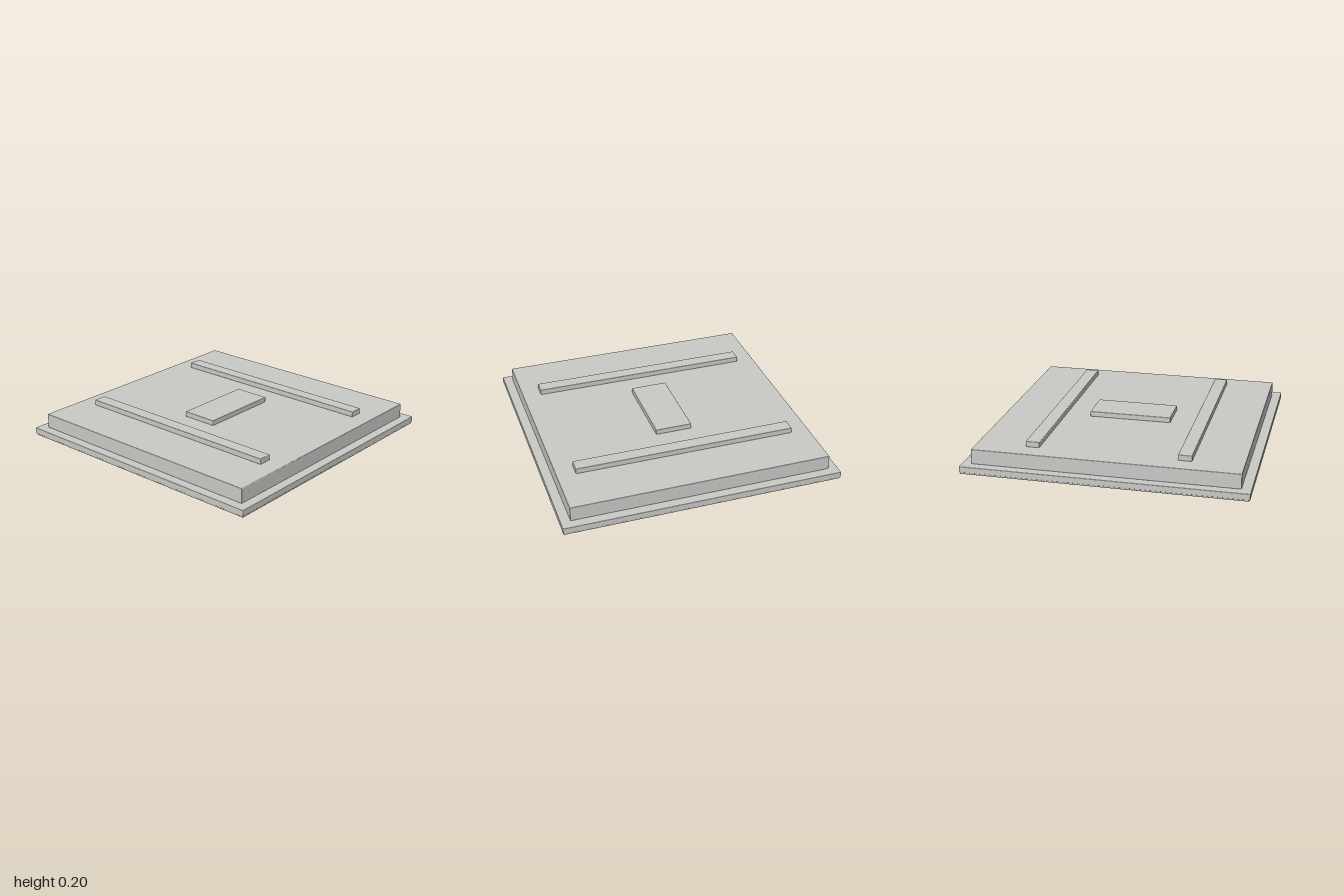
import * as THREE from 'three';
import { RoundedBoxGeometry } from 'three/addons/geometries/RoundedBoxGeometry.js';

export function createModel() {
  const model = new THREE.Group();
  model.name = 'floorPanel';

  const paleGrey = new THREE.MeshStandardMaterial({ color: 0xc9c9c6 });
  paleGrey.name = 'paleGrey';

  // Softly edged slab standing between two heights
  const slab = (name, width, depth, bottom, top, x = 0, bevel = 0.005) => {
    const geometry = new RoundedBoxGeometry(width, top - bottom, depth, 2, bevel);
    const mesh = new THREE.Mesh(geometry, paleGrey);
    mesh.name = name;
    mesh.position.set(x, (bottom + top) / 2, 0);
    model.add(mesh);
    return mesh;
  };

  // Stepped base and body
  slab('underPlate', 1.99, 1.99, 0, 0.014, 0, 0.004);
  slab('baseFlange', 2, 2, 0.012, 0.056, 0, 0.004);
  slab('body', 1.866, 1.866, 0.054, 0.162);

  // Raised centre plate and two long side ribs
  slab('centrePlate', 0.6, 0.267, 0.16, 0.2);
  slab('leftRib', 0.097, 1.6, 0.16, 0.202, 0.532);
  slab('rightRib', 0.097, 1.6, 0.16, 0.202, -0.532);

  return model;
}
